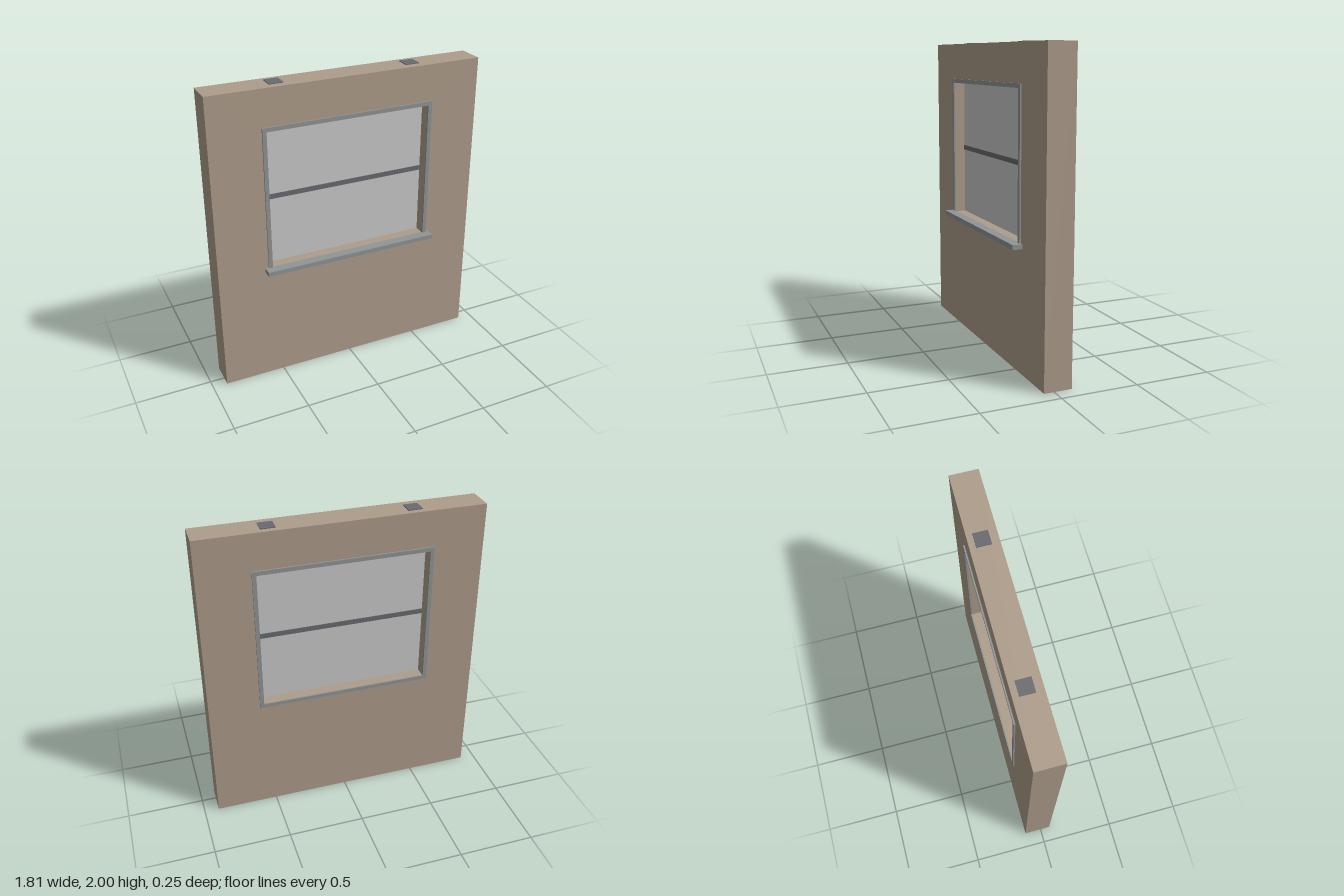
import * as THREE from 'three';

const mat = (name, color) => {
  const m = new THREE.MeshStandardMaterial({ color });
  m.name = name;
  return m;
};

// Rectangle outline from edge positions
function rect(Type, x, y0, y1) {
  const p = new Type();
  p.moveTo(-x, y0);
  p.lineTo(x, y0);
  p.lineTo(x, y1);
  p.lineTo(-x, y1);
  p.closePath();
  return p;
}

export function createModel() {
  const plaster = mat('tan plaster', 0xae9d8b);
  const trim = mat('grey trim', 0x909596);
  const dark = mat('dark grey metal', 0x6a6b70);
  const pane = mat('pale glass', 0xcacaca);

  const model = new THREE.Group();
  model.name = 'windowWall';

  const add = (name, geometry, material) => {
    const mesh = new THREE.Mesh(geometry, material);
    mesh.name = name;
    model.add(mesh);
    return mesh;
  };
  const box = (name, material, x0, x1, y0, y1, z0, z1) => {
    const mesh = add(name, new THREE.BoxGeometry(x1 - x0, y1 - y0, z1 - z0), material);
    mesh.position.set((x0 + x1) / 2, (y0 + y1) / 2, (z0 + z1) / 2);
  };
  // Upright slab with the window opening cut out
  const ring = (name, material, x, y0, y1, z0, z1) => {
    const shape = rect(THREE.Shape, x, y0, y1);
    shape.holes.push(rect(THREE.Path, 0.547, 0.812, 1.73));
    const geometry = new THREE.ExtrudeGeometry(shape, { depth: z1 - z0, bevelEnabled: false });
    add(name, geometry, material).position.z = z0;
  };

  // Wall panel and the trim on both faces
  ring('wall', plaster, 0.905, 0, 1.995, -0.115, 0.065);
  ring('frontFrame', trim, 0.573, 0.786, 1.757, 0.065, 0.075);
  ring('backFrame', trim, 0.573, 0.786, 1.757, -0.125, -0.115);
  box('sill', trim, -0.595, 0.595, 0.784, 0.814, 0.065, 0.128);

  // Glazing and its cross bar, set mid-depth
  box('glass', pane, -0.547, 0.547, 0.812, 1.73, -0.045, -0.005);
  box('crossBar', dark, -0.547, 0.547, 1.257, 1.289, -0.05, 0);

  // Lifting plates on the top edge
  for (const side of [-1, 1]) {
    const x = side * 0.453;
    box(side < 0 ? 'rightTopPlate' : 'leftTopPlate', dark, x - 0.046, x + 0.046, 1.99, 2, -0.077, 0.015);
  }
  return model;
}
